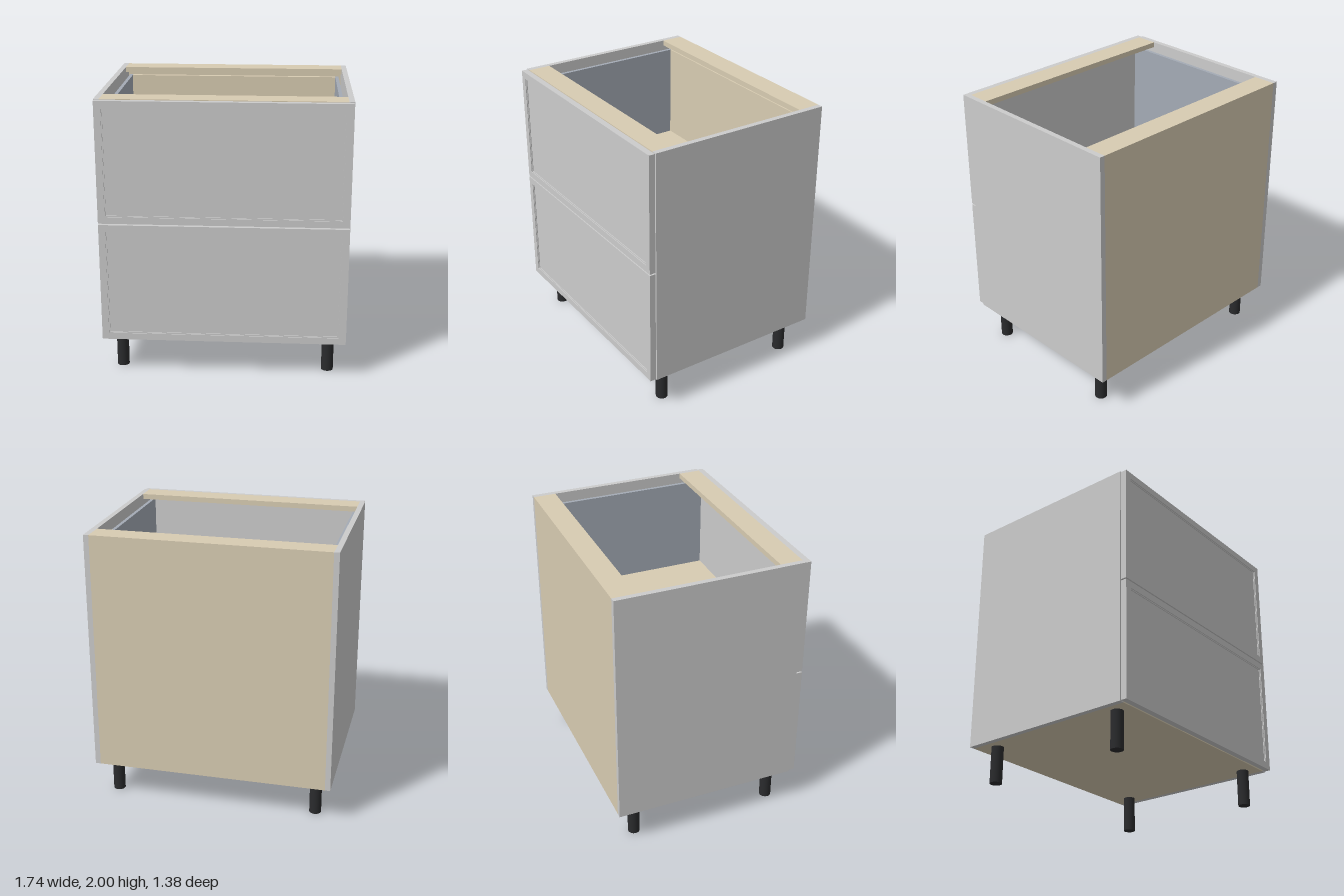
import * as THREE from 'three';

const grey = new THREE.MeshStandardMaterial({ color: 0xcccccc });
const wood = new THREE.MeshStandardMaterial({ color: 0xd8ccb2 });
const metal = new THREE.MeshStandardMaterial({ color: 0xa4abb5 });
const black = new THREE.MeshStandardMaterial({ color: 0x2a2b2d });

// Box given by its minimum and maximum corners
function slab(name, material, [x0, y0, z0], [x1, y1, z1]) {
  const mesh = new THREE.Mesh(new THREE.BoxGeometry(x1 - x0, y1 - y0, z1 - z0), material);
  mesh.position.set((x0 + x1) / 2, (y0 + y1) / 2, (z0 + z1) / 2);
  mesh.name = name;
  return mesh;
}

// Rectangular frame in the xy plane, extruded from z0 to z1
function frame(name, w, h, border, z0, z1) {
  const corners = (a, b) => [[-a, -b], [a, -b], [a, b], [-a, b]].map(p => new THREE.Vector2(...p));
  const shape = new THREE.Shape(corners(w / 2, h / 2));
  shape.holes.push(new THREE.Path(corners(w / 2 - border, h / 2 - border).reverse()));
  const geometry = new THREE.ExtrudeGeometry(shape, { depth: z1 - z0, bevelEnabled: false });
  const mesh = new THREE.Mesh(geometry, grey);
  mesh.position.z = z0;
  mesh.name = name;
  return mesh;
}

// Front panel with a stepped, shallow recess
function drawerFront(y0, y1) {
  const group = new THREE.Group();
  const w = 1.724, h = y1 - y0, border = 0.048, lip = 0.008;
  group.add(
    frame('frontFrame', w, h, border, 0.648, 0.692),
    frame('frontLip', w - 2 * border, h - 2 * border, lip, 0.648, 0.686),
    slab('frontPanel', grey,
      [-w / 2 + border + lip, -h / 2 + border + lip, 0.648],
      [w / 2 - border - lip, h / 2 - border - lip, 0.68]));
  group.position.y = (y0 + y1) / 2;
  group.name = 'drawerFront';
  return group;
}

// Drawer: front, two thin metal sides, bottom and back
function drawer(name, y0, y1) {
  const group = new THREE.Group();
  group.name = name;
  const low = y0 + 0.06, high = y1 - 0.065;
  group.add(drawerFront(y0, y1));
  for (const s of [-1, 1]) {
    const side = slab('drawerSide', metal, [-0.0125, low, -0.6], [0.0125, high, 0.648]);
    side.position.x = s * 0.7975;
    group.add(side);
  }
  group.add(
    slab('drawerBottom', wood, [-0.785, low, -0.6], [0.785, low + 0.035, 0.648]),
    slab('drawerBack', wood, [-0.785, low + 0.035, -0.6], [0.785, high, -0.565]));
  return group;
}

export function createModel() {
  const model = new THREE.Group();
  model.name = 'drawerCabinet';

  // Carcass
  const base = 0.265, top = 2, inner = 0.83, outer = 0.868, back = -0.692, front = 0.645;
  model.add(
    slab('rightSidePanel', grey, [-outer, base, back], [-inner, top, front]),
    slab('leftSidePanel', grey, [inner, base, back], [outer, top, front]),
    slab('bottomPanel', wood, [-inner, base, back], [inner, base + 0.038, front]),
    slab('backPanel', wood, [-inner, base + 0.038, back], [inner, top - 0.038, back + 0.038]),
    slab('backTopRail', wood, [-inner, top - 0.038, back], [inner, top, -0.527]),
    slab('frontTopRail', wood, [-inner, top - 0.038, 0.483], [inner, top, front]));

  // Drawers
  model.add(drawer('lowerDrawer', 0.27, 1.128), drawer('upperDrawer', 1.138, 1.996));

  // Legs
  const legGeometry = new THREE.CylinderGeometry(0.043, 0.043, base, 32);
  for (const x of [-0.745, 0.745]) {
    for (const z of [-0.543, 0.525]) {
      const leg = new THREE.Mesh(legGeometry, black);
      leg.position.set(x, base / 2, z);
      leg.name = z > 0 ? 'frontLeg' : 'backLeg';
      model.add(leg);
    }
  }
  return model;
}
